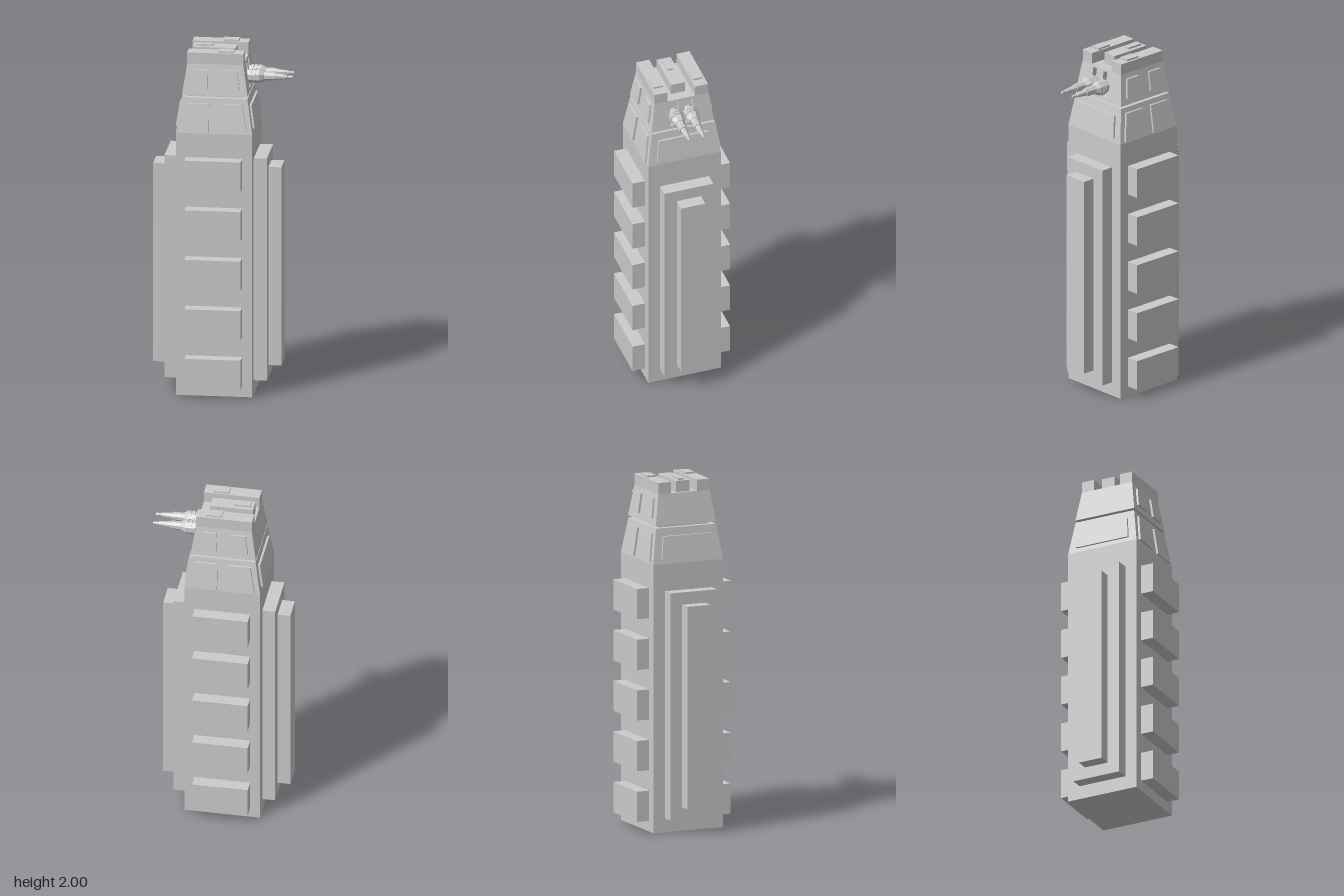
import * as THREE from 'three';

const material = new THREE.MeshStandardMaterial({ color: 0xcccccc, flatShading: true });

function add(parent, name, geometry) {
  const mesh = new THREE.Mesh(geometry, material);
  mesh.name = name;
  parent.add(mesh);
  return mesh;
}

// Box given by its extents
function block(parent, name, x0, x1, y0, y1, z0, z1) {
  const g = new THREE.BoxGeometry(x1 - x0, y1 - y0, z1 - z0);
  g.translate((x0 + x1) / 2, (y0 + y1) / 2, (z0 + z1) / 2);
  return add(parent, name, g);
}

// Unit box whose corners are moved by a rule; the rule gets the three signs
function warpedBox(rule) {
  const g = new THREE.BoxGeometry(2, 2, 2);
  const p = g.attributes.position;
  for (let i = 0; i < p.count; i++) p.setXYZ(i, ...rule(p.getX(i), p.getY(i), p.getZ(i)));
  g.computeVertexNormals();
  return g;
}

// Half width of a square tapered storey at height y
const taper = (y0, w0, y1, w1) => (y) => w0 + ((w1 - w0) * (y - y0)) / (y1 - y0);

// Armour plate lying on the sloping +z face; a = bottom span, b = top span
function slopePlate(width, y0, y1, a, b) {
  return warpedBox((sx, sy, sz) => {
    const y = sy > 0 ? y1 : y0;
    const span = sy > 0 ? b : a;
    return [sx > 0 ? span[1] : span[0], y, width(y) + (sz > 0 ? 0.012 : -0.01)];
  });
}

export function createModel() {
  const model = new THREE.Group();
  model.name = 'gunTower';
  const tower = new THREE.Group();
  tower.name = 'tower';
  tower.position.x = -0.033;
  model.add(tower);

  // Square shaft with stepped side buttresses
  block(tower, 'shaft', -0.216, 0.216, 0, 1.535, -0.216, 0.216);
  for (const s of [-1, 1]) {
    const side = s > 0 ? 'left' : 'right';
    const step = (name, out, from, y0, y1, z) =>
      block(tower, side + name, Math.min(s * from, s * out), Math.max(s * from, s * out), y0, y1, -z, z);
    step('InnerButtress', 0.29, 0.2, 0.08, 1.38, 0.145);
    step('OuterButtress', 0.363, 0.28, 0.15, 1.31, 0.072);
  }

  // Five blocks up the front and back
  for (let i = 0; i < 5; i++) {
    const y = 0.061 + i * 0.29;
    block(tower, 'frontBlock', -0.159, 0.159, y, y + 0.173, 0.2, 0.29);
    block(tower, 'backBlock', -0.159, 0.159, y, y + 0.173, -0.29, -0.2);
  }

  // Tapered shoulder and neck
  const shoulder = taper(1.535, 0.216, 1.735, 0.185);
  add(tower, 'shoulder', warpedBox((sx, sy, sz) => {
    const y = sy > 0 ? 1.735 : 1.535;
    return [sx * shoulder(y), y, sz * shoulder(y)];
  }));
  block(tower, 'neck', -0.155, 0.155, 1.73, 1.755, -0.155, 0.155);

  // Turret core, set back on the gun side to leave room for the slotted face
  const head = taper(1.748, 0.186, 1.926, 0.159);
  const depth = 0.03;
  add(tower, 'turretCore', warpedBox((sx, sy, sz) => {
    const y = sy > 0 ? 1.926 : 1.748;
    return [sx > 0 ? head(y) - depth : -head(y), y, sz * head(y)];
  }));

  // Gun face with two elevation slots
  const face = new THREE.Shape([
    new THREE.Vector2(-0.186, 1.748), new THREE.Vector2(0.186, 1.748),
    new THREE.Vector2(0.159, 1.926), new THREE.Vector2(-0.159, 1.926),
  ]);
  for (const c of [-0.043, 0.043]) {
    face.holes.push(new THREE.Path([
      new THREE.Vector2(c - 0.026, 1.765), new THREE.Vector2(c - 0.026, 1.91),
      new THREE.Vector2(c + 0.026, 1.91), new THREE.Vector2(c + 0.026, 1.765),
    ]));
  }
  const faceGeo = new THREE.ExtrudeGeometry(face, { depth, bevelEnabled: false });
  const fp = faceGeo.attributes.position;
  for (let i = 0; i < fp.count; i++) fp.setZ(i, fp.getZ(i) + head(fp.getY(i)) - depth);
  faceGeo.computeVertexNormals();
  add(tower, 'gunFace', faceGeo.rotateY(Math.PI / 2));

  // Armour plates: pairs on front and back, single wide plates on the sides
  for (const turn of [0, Math.PI]) {
    for (const s of [-1, 1]) {
      const span = (near, far) => (s > 0 ? [near, far] : [-far, -near]);
      add(tower, 'shoulderPlate',
        slopePlate(shoulder, 1.545, 1.705, span(0.03, 0.185), span(0.03, 0.157))).rotation.y = turn;
      add(tower, 'turretPlate',
        slopePlate(head, 1.785, 1.897, span(0.04, 0.141), span(0.04, 0.124))).rotation.y = turn;
    }
    add(tower, 'sidePlate',
      slopePlate(shoulder, 1.56, 1.69, [-0.165, 0.165], [-0.148, 0.148])).rotation.y = turn + Math.PI / 2;
  }

  // Roof ramparts and central ridge with small hatches
  for (const s of [-1, 1]) {
    const z = s * 0.12;
    block(tower, 'rampart', -0.159, 0.159, 1.926, 1.99, z - 0.039, z + 0.039);
    block(tower, 'rampartHatch', 0.016, 0.103, 1.985, 2, s * 0.118 - 0.028, s * 0.118 + 0.028);
  }
  block(tower, 'ridge', -0.144, 0.101, 1.92, 1.99, -0.041, 0.041);
  block(tower, 'ridgeHatch', -0.124, -0.029, 1.985, 2, -0.018, 0.018);

  // Twin guns: [radius, distance along the barrel]
  const profile = [
    [0, 0.1], [0.024, 0.1], [0.024, 0.127], [0.034, 0.133], [0.037, 0.146], [0.041, 0.146],
    [0.041, 0.162], [0.036, 0.162], [0.036, 0.168], [0.042, 0.168], [0.042, 0.183], [0.036, 0.183],
    [0.036, 0.19], [0.041, 0.19], [0.041, 0.205], [0.028, 0.23], [0.025, 0.23], [0.024, 0.293],
    [0.019, 0.293], [0.012, 0.36], [0.009, 0.362], [0.008, 0.392], [0, 0.392],
  ].map(([r, d]) => new THREE.Vector2(r, d));
  for (const z of [-0.043, 0.043]) {
    const gun = add(model, 'gun', new THREE.LatheGeometry(profile, 8, Math.PI / 8));
    gun.rotation.z = -Math.PI / 2;
    gun.position.set(0, 1.833, z);
  }
  return model;
}
